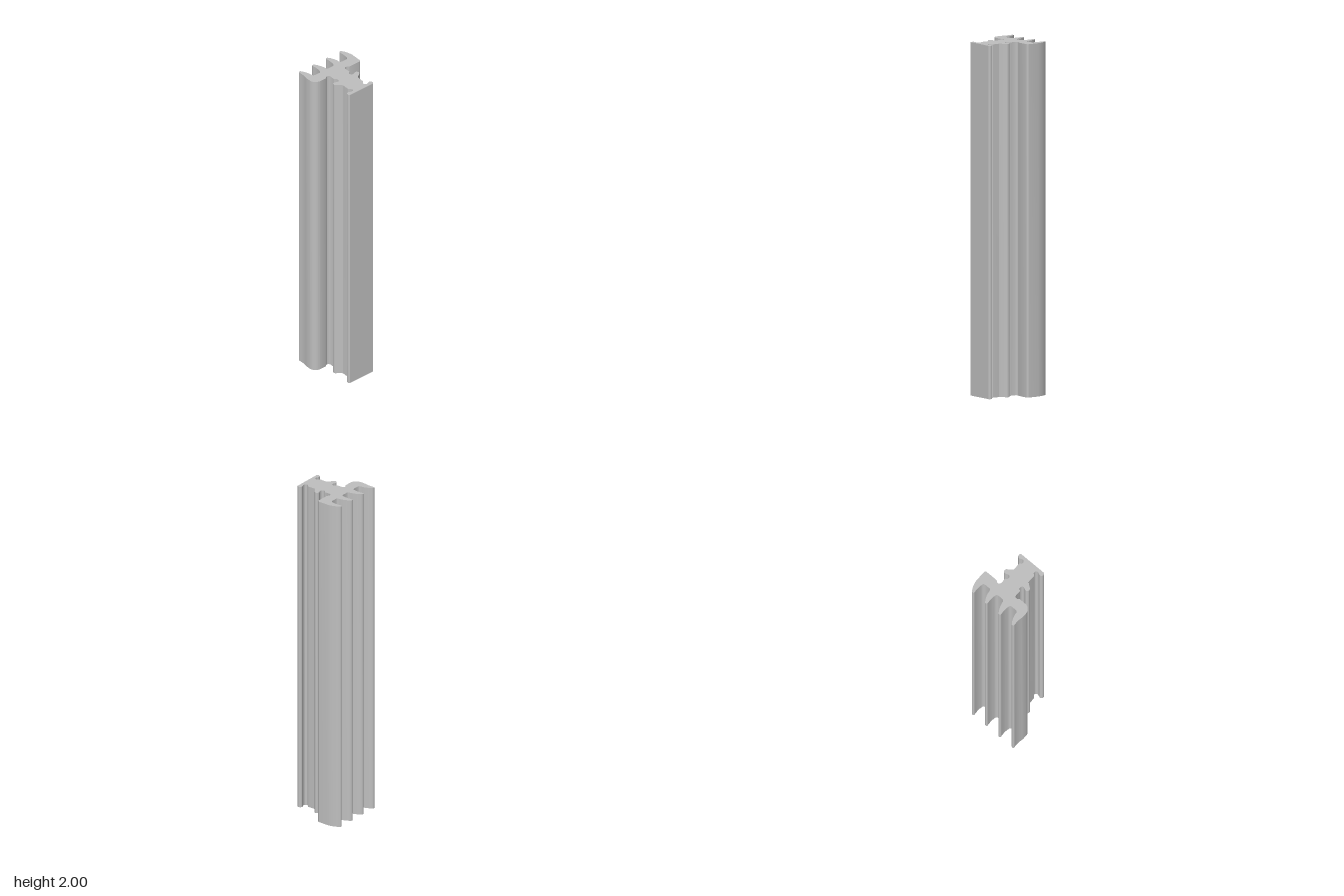
import * as THREE from 'three';
import { toCreasedNormals } from 'three/addons/utils/BufferGeometryUtils.js';

const HEIGHT = 2;
const rad = THREE.MathUtils.degToRad;

// Upper half of the barbed stem, from its point back to the head
function stemHalf() {
  const p = new THREE.Path();
  p.moveTo(0.2, 0.0015);
  for (const x of [0.14, 0.02]) {
    p.absarc(x, 0.0775, 0.014, rad(30), rad(215), false); // rounded barb
    p.absarc(x - 0.021, 0.056, 0.014, rad(35), rad(-150), true); // groove behind it
    p.quadraticCurveTo(x - 0.035, 0.0555, x - 0.042, 0.0555);
    if (x > 0.1) {
      p.lineTo(0.062, 0.0555);
      p.quadraticCurveTo(0.055, 0.0555, 0.051, 0.06);
    }
  }
  p.absarc(-0.05, 0.0695, 0.014, rad(270), rad(125), true); // notch under the head
  p.quadraticCurveTo(-0.055, 0.083, -0.055, 0.088);
  return p.getPoints(8);
}

// Head with four curved fins, from the upper shoulder to the lower one
function headOutline() {
  const p = new THREE.Path();
  p.moveTo(-0.055, 0.158);
  p.quadraticCurveTo(-0.055, 0.17, -0.067, 0.17);
  p.lineTo(-0.13, 0.17);
  const tips = [0.145, 0.047, -0.053, -0.151];
  tips.forEach((v, i) => {
    // fin back, then its blunt tip
    if (i === 0) p.quadraticCurveTo(-0.168, 0.166, -0.197, v);
    else p.bezierCurveTo(-0.155, v + 0.024, -0.178, v + 0.014, -0.197, v);
    p.bezierCurveTo(-0.201, v - 0.003, -0.2005, v - 0.015, -0.192, v - 0.0145);
    if (i < 3) {
      // fin belly and the channel to the next fin
      p.bezierCurveTo(-0.17, v - 0.011, -0.145, v - 0.011, -0.127, v - 0.017);
      p.quadraticCurveTo(-0.118, v - 0.02, -0.118, v - 0.031);
      p.lineTo(-0.118, v - 0.059);
      p.quadraticCurveTo(-0.118, v - 0.07, -0.13, v - 0.0725);
    }
  });
  p.bezierCurveTo(-0.168, -0.162, -0.145, -0.164, -0.125, -0.169);
  p.lineTo(-0.098, -0.169);
  p.absarc(-0.098, -0.126, 0.043, rad(270), rad(360), false); // large round shoulder
  return p.getPoints(8);
}

export function createModel() {
  const group = new THREE.Group();
  group.name = 'sealingStrip';
  const grey = new THREE.MeshStandardMaterial({ color: 0xbfbfbf });
  grey.name = 'grey';

  const upper = stemHalf();
  const lower = upper.map((q) => new THREE.Vector2(q.x, -q.y)).reverse();
  const outline = [...upper, ...headOutline(), ...lower]
    .filter((q, i, all) => i === 0 || q.distanceTo(all[i - 1]) > 1e-5);

  // One profile drawn up the full height
  const geometry = new THREE.ExtrudeGeometry(new THREE.Shape(outline), {
    depth: HEIGHT, bevelEnabled: false,
  });
  geometry.rotateX(-Math.PI / 2);
  const strip = new THREE.Mesh(toCreasedNormals(geometry, 0.6), grey);
  strip.name = 'stripProfile';
  group.add(strip);
  return group;
}
